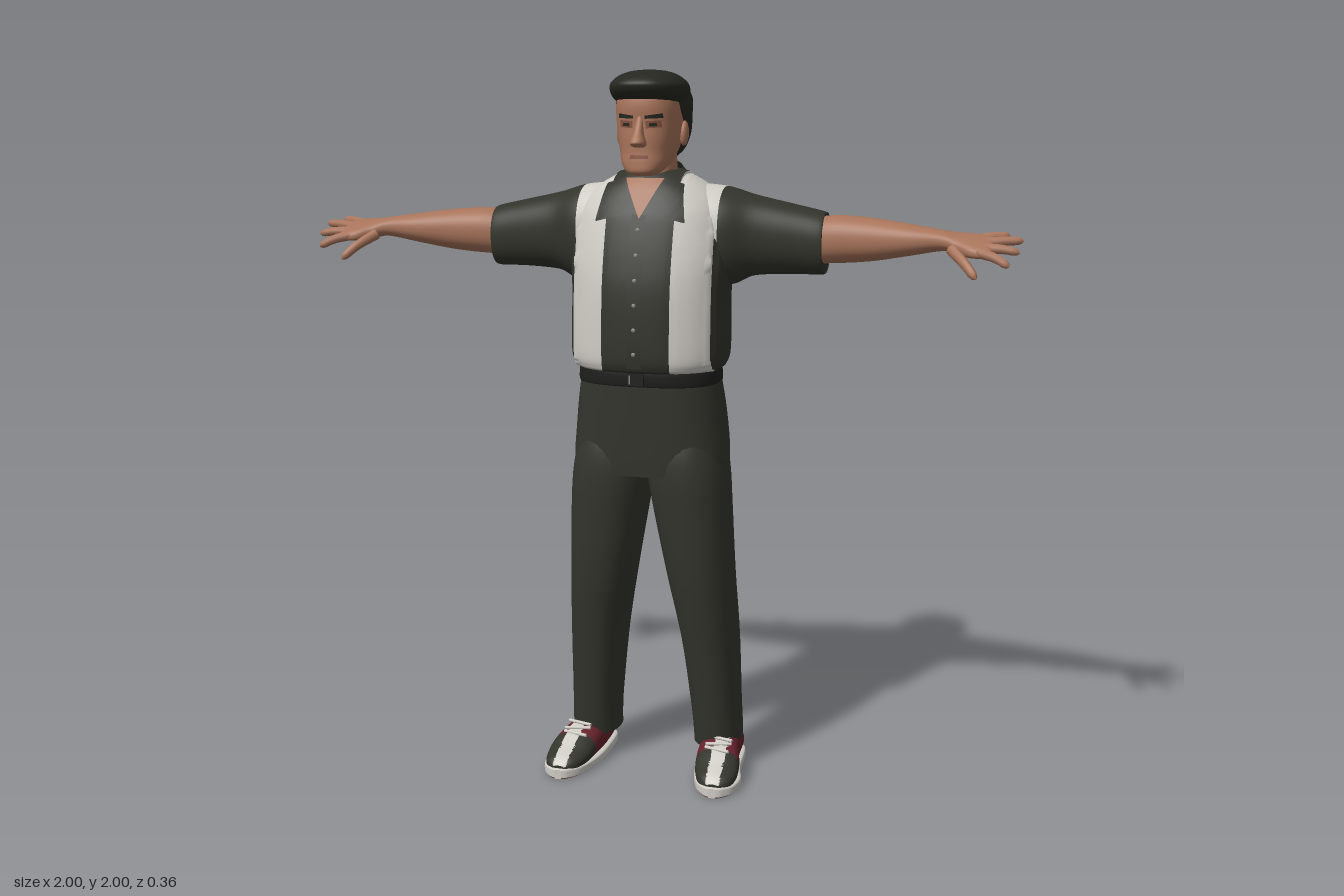
import * as THREE from 'three';

const mat = (name, color, side = THREE.FrontSide) => {
  const m = new THREE.MeshStandardMaterial({ color, side });
  m.name = name;
  return m;
};

// Rows are [t, u0, u1, v0, v1, roundness, shear]; sym() makes rows symmetric in x.
const sym = rows => rows.map(([y, r, z0, z1, p = 2.4]) => [y, -r, r, z0, z1, p, 0]);
const full = rows => rows.map(r => [...r, ...[2.3, 0].slice(r.length - 5)]);

// Smooth interpolation between rows at fractional index f
function rowAt(rows, f) {
  const i = Math.min(Math.floor(f), rows.length - 2), t = f - i;
  const at = k => rows[Math.max(0, Math.min(rows.length - 1, k))];
  const [a, b, c, d] = [at(i - 1), at(i), at(i + 1), at(i + 2)];
  return b.map((_, k) => b[k] + 0.5 * t * (c[k] - a[k] + t * (2 * a[k] - 5 * b[k] + 4 * c[k] - d[k]
    + t * (3 * (b[k] - c[k]) + d[k] - a[k]))));
}

const AXES = {
  y: (t, u, v) => [u, t, v],
  x: (t, u, v) => [t, v, u],
  z: (t, u, v) => [v, u, t],
};

// Skin over superellipse sections; pick(x, y, z) chooses a material per face
function loft(name, rowsIn, axis, mats, { side = 1, n = 40, steps = 6, pick = null, snap = [] } = {}) {
  const rows = full(rowsIn), pos = [], faces = [], count = (rows.length - 1) * steps;
  const put = (t, u, v) => {
    const p = AXES[axis](t, u, v);
    for (const s of snap) if (Math.abs(Math.abs(p[0]) - s) < 0.0075) p[0] = Math.sign(p[0]) * s;
    pos.push(p[0] * side, p[1], p[2]);
  };
  const ring = j => {
    const [t, u0, u1, v0, v1, p, shear] = rowAt(rows, j / steps);
    for (let i = 0; i < n; i++) {
      const a = i / n * Math.PI * 2, s = Math.sin(a), c = Math.cos(a);
      const du = Math.sign(s) * Math.abs(s) ** (2 / p), dv = Math.sign(c) * Math.abs(c) ** (2 / p);
      put(t, (u0 + u1) / 2 + du * (u1 - u0) / 2, (v0 + v1) / 2 + dv * (v1 - v0) / 2 + shear * du);
    }
  };
  for (let j = 0; j <= count; j++) ring(j);
  for (let j = 0; j < count; j++) for (let i = 0; i < n; i++) {
    const a = j * n + i, b = j * n + (i + 1) % n;
    faces.push([a, b, b + n], [a, b + n, a + n]);
  }
  for (const j of [0, count]) {
    const base = pos.length / 3, r = rowAt(rows, j / steps);
    ring(j);
    put(r[0], (r[1] + r[2]) / 2, (r[3] + r[4]) / 2);
    for (let i = 0; i < n; i++) {
      const k = base + (i + 1) % n;
      faces.push(j ? [base + n, base + i, k] : [base + n, k, base + i]);
    }
  }
  const list = Array.isArray(mats) ? mats : [mats], buckets = list.map(() => []);
  for (const f of faces) {
    const c = [0, 1, 2].map(k => (pos[f[0] * 3 + k] + pos[f[1] * 3 + k] + pos[f[2] * 3 + k]) / 3);
    buckets[pick ? pick(...c) : 0].push(...(side < 0 ? [f[0], f[2], f[1]] : f));
  }
  const g = new THREE.BufferGeometry();
  g.setAttribute('position', new THREE.Float32BufferAttribute(pos, 3));
  g.setIndex(buckets.flat());
  let start = 0;
  buckets.forEach((b, k) => { g.addGroup(start, b.length, k); start += b.length; });
  g.computeVertexNormals();
  const m = new THREE.Mesh(g, list.length > 1 ? list : list[0]);
  m.name = name;
  return m;
}

// Front z of an upright loft at (x, y)
function frontZ(rows, x, y) {
  let f = 0;
  while (f < rows.length - 1.02 && rowAt(rows, f)[0] < y) f += 0.02;
  const [, , r, z0, z1, p] = rowAt(rows, f);
  return (z0 + z1) / 2 + (z1 - z0) / 2 * Math.max(0, 1 - Math.abs(x / r) ** p) ** (1 / p);
}

// Thin panel lying on a loft's front; corners run bottom-left, bottom-right, top-right, top-left
function patch(name, rows, corners, material, lift = 0.004, side = 1) {
  let q = corners;
  if (side < 0) q = [1, 0, 3, 2].map(k => [-corners[k][0], corners[k][1]]);
  const g = new THREE.PlaneGeometry(1, 1, 10, 10), P = g.attributes.position;
  for (let i = 0; i < P.count; i++) {
    const s = P.getX(i) + 0.5, t = P.getY(i) + 0.5;
    const [x, y] = [0, 1].map(k => (q[0][k] * (1 - s) + q[1][k] * s) * (1 - t) + (q[3][k] * (1 - s) + q[2][k] * s) * t);
    P.setXYZ(i, x, y, frontZ(rows, x, y) + lift);
  }
  g.computeVertexNormals();
  const m = new THREE.Mesh(g, material);
  m.name = name;
  return m;
}

// Tapered round-tipped finger through points
function finger(name, pts, r, material, side) {
  const curve = new THREE.CatmullRomCurve3(pts.map(([x, y, z]) => new THREE.Vector3(x * side, y, z)));
  const N = 16, R = 10, g = new THREE.TubeGeometry(curve, N, r, R), P = g.attributes.position, v = new THREE.Vector3();
  for (let i = 0; i < P.count; i++) {
    const t = Math.floor(i / (R + 1)) / N, c = curve.getPointAt(t);
    const k = (1 - 0.3 * t) * Math.sqrt(Math.max(0, 1 - Math.max(0, (t - 0.8) / 0.2) ** 2));
    v.fromBufferAttribute(P, i).sub(c).multiplyScalar(k).add(c);
    P.setXYZ(i, v.x, v.y, v.z);
  }
  g.computeVertexNormals();
  const m = new THREE.Mesh(g, material);
  m.name = name;
  return m;
}

export function createModel() {
  const root = new THREE.Group();
  root.name = 'man';
  const add = (...m) => root.add(...m);
  const shape = (name, geo, material, p, s = [1, 1, 1]) => {
    const m = new THREE.Mesh(geo, material);
    m.name = name; m.position.set(...p); m.scale.set(...s);
    add(m);
    return m;
  };
  const skin = mat('skin', 0xa8745a), lip = mat('lipSkin', 0x84513f), hair = mat('hair', 0x262720);
  const dark = mat('darkCloth', 0x32332b, THREE.DoubleSide), white = mat('offWhite', 0xcfccc5);
  const trouser = mat('trouserCloth', 0x34352d), leather = mat('beltLeather', 0x1f1f1c);
  const red = mat('redLeather', 0x66222b), soleBrown = mat('soleBrown', 0x7a5040), grey = mat('buttonGrey', 0x8a8a82);

  // Shirt body with two pale vertical panels front and back
  const torso = sym([[1.195, .195, -.155, .15], [1.205, .21, -.165, .163], [1.25, .221, -.175, .17], [1.4, .22, -.18, .165],
    [1.5, .225, -.182, .148], [1.6, .212, -.182, .12], [1.65, .195, -.176, .097], [1.69, .155, -.155, .075],
    [1.72, .105, -.13, .05], [1.735, .08, -.11, .03]]);
  const panel = x => (Math.abs(x) > .095 && Math.abs(x) < .193 ? 1 : 0);
  add(loft('shirtBody', torso, 'y', [dark, white], { n: 96, steps: 10, pick: panel, snap: [.095, .193] }));
  add(patch('placket', torso, [[-.02, 1.21], [.02, 1.21], [.02, 1.62], [-.02, 1.62]], dark));
  add(patch('pocket', torso, [[.108, 1.43], [.178, 1.43], [.178, 1.55], [.108, 1.55]], white, .006));
  for (let i = 0; i < 6; i++) {
    const y = 1.25 + i * .066;
    shape('button', new THREE.SphereGeometry(.006, 10, 8), grey, [0, y, frontZ(torso, 0, y) + .004], [1, 1, .6]);
  }

  // Open neck and collar
  add(loft('neck', sym([[1.6, .07, -.1, .06, 2], [1.68, .072, -.095, .055, 2], [1.74, .066, -.09, .05, 2], [1.8, .066, -.09, .06, 2]]), 'y', skin));
  add(patch('openNeck', torso, [[0, 1.61], [.001, 1.61], [.055, 1.715], [-.055, 1.715]], skin, .005));
  const band = new THREE.PlaneGeometry(1, 1, 40, 4), B = band.attributes.position;
  for (let i = 0; i < B.count; i++) {
    const a = B.getX(i) * 4.4, d = .5 - B.getY(i), drop = .025 * (1 - Math.cos(a));
    B.setXYZ(i, (.078 + .045 * d) * Math.sin(a), 1.76 - drop - .055 * d, -.03 - (.078 + .042 * d) * Math.cos(a));
  }
  band.computeVertexNormals();
  shape('collarBand', band, dark, [0, 0, 0]);

  // Face
  const head = sym([[1.722, .028, .045, .1], [1.732, .046, .02, .117], [1.755, .064, -.03, .118], [1.785, .074, -.08, .115],
    [1.82, .082, -.1, .115], [1.86, .087, -.108, .113], [1.91, .088, -.11, .115], [1.95, .08, -.1, .1], [1.98, .04, -.05, .05]]);
  add(loft('head', head, 'y', skin));
  add(loft('nose', sym([[1.797, .012, .09, .125], [1.803, .02, .09, .147], [1.812, .02, .09, .156], [1.835, .013, .09, .138],
    [1.865, .01, .09, .12], [1.885, .008, .085, .112]]), 'y', skin, { n: 20 }));
  add(patch('mouth', head, [[-.026, 1.767], [.026, 1.767], [.024, 1.777], [-.024, 1.777]], lip, .003));

  // Hair: swept top and cropped back
  add(loft('hairTop', sym([[1.915, .09, -.118, .098], [1.93, .1, -.121, .122], [1.95, .103, -.118, .138], [1.967, .097, -.108, .138],
    [1.985, .075, -.08, .112], [1.996, .045, -.04, .07], [2, .008, 0, .02]]), 'y', hair));
  add(loft('hairBack', sym([[1.765, .05, -.09, -.04], [1.79, .075, -.104, -.03, 3], [1.83, .09, -.117, -.025, 3],
    [1.865, .096, -.121, .01, 3], [1.89, .099, -.123, .045, 3], [1.925, .1, -.122, .06, 3], [1.95, .09, -.11, .06, 3]]), 'y', hair));

  // Trousers and belt
  add(loft('trouserSeat', sym([[.9, .218, -.143, .124, 2.6], [.95, .22, -.155, .128, 2.6], [1.02, .214, -.162, .132, 2.6],
    [1.1, .205, -.156, .136, 2.6], [1.18, .192, -.145, .14, 2.6]]), 'y', trouser, { n: 56 }));
  add(loft('belt', sym([[1.158, .193, -.15, .142, 2.6], [1.16, .199, -.154, .148, 2.6], [1.197, .196, -.152, .15, 2.6],
    [1.2, .19, -.148, .144, 2.6]]), 'y', leather, { n: 56, steps: 3 }));
  shape('buckle', new THREE.BoxGeometry(.045, .034, .008), leather, [0, 1.178, .152]);
  shape('bucklePin', new THREE.BoxGeometry(.004, .024, .004), grey, [-.016, 1.178, .156]);

  for (const side of [1, -1]) {
    // Lapel, eye, brow, ear
    add(patch('lapel', torso, [[.012, 1.628], [.125, 1.6], [.108, 1.7], [.055, 1.715]], dark, .012, side));
    add(patch('brow', head, [[.016, 1.872], [.062, 1.874], [.06, 1.886], [.016, 1.88]], hair, .004, side));
    add(patch('eyeSocket', head, [[.018, 1.847], [.058, 1.85], [.056, 1.868], [.018, 1.866]], lip, .002, side));
    add(patch('eye', head, [[.026, 1.852], [.048, 1.853], [.046, 1.861], [.028, 1.861]], hair, .004, side));
    shape('ear', new THREE.SphereGeometry(1, 16, 12), skin, [side * .089, 1.832, -.015], [.012, .034, .021]).rotation.x = -.15;

    // Short sleeve; its shoulder end carries the pale panel
    add(loft('sleeve', [[.095, -.15, .055, 1.52, 1.7], [.2, -.172, .06, 1.425, 1.69], [.28, -.158, .03, 1.448, 1.667],
      [.38, -.15, .014, 1.455, 1.645], [.465, -.146, .004, 1.455, 1.626], [.472, -.14, -.002, 1.462, 1.62]],
    'x', [dark, white], { side, n: 48, pick: x => (Math.abs(x) < .2 ? 1 : 0) }));

    // Bare arm and palm
    add(loft('arm', [[.42, -.125, -.01, 1.485, 1.605], [.5, -.13, .003, 1.488, 1.617], [.6, -.12, .01, 1.497, 1.612],
      [.7, -.098, .018, 1.515, 1.6], [.79, -.073, .018, 1.532, 1.587], [.83, -.068, .028, 1.53, 1.58, 2.3, -.008],
      [.87, -.064, .05, 1.528, 1.572, 2.5, -.016], [.91, -.06, .055, 1.533, 1.565, 2.5, -.018], [.922, -.05, .045, 1.54, 1.56, 2.5, -.015]],
    'x', skin, { side }));
    const fingers = {
      thumb: [[.82, 1.54, .02], [.86, 1.508, .07], [.892, 1.473, .1]],
      indexFinger: [[.89, 1.537, .04], [.935, 1.525, .058], [.972, 1.505, .076]],
      middleFinger: [[.89, 1.545, .015], [.95, 1.545, .022], [.995, 1.537, .026]],
      ringFinger: [[.89, 1.555, -.015], [.95, 1.562, -.025], [1, 1.563, -.033]],
      littleFinger: [[.885, 1.563, -.043], [.92, 1.57, -.054], [.962, 1.572, -.066]],
    };
    for (const [name, pts] of Object.entries(fingers)) add(finger(name, pts, name === 'thumb' ? .016 : .0145, skin, side));

    // Trouser leg
    add(loft('trouserLeg', [[.078, .117, .254, -.165, .012], [.12, .116, .255, -.163, .02], [.2, .11, .252, -.161, .032],
      [.4, .087, .247, -.16, .065], [.6, .05, .238, -.142, .1], [.8, .012, .23, -.136, .12], [.9, -.004, .223, -.145, .126],
      [.97, 0, .21, -.15, .12], [1.04, .02, .19, -.13, .1]], 'y', trouser, { side }));

    // Two-tone shoe with pale centre stripe
    add(loft('shoeUpper', [[-.158, .02, .075, .175, .225], [-.13, .015, .1, .15, .25], [-.05, .01, .112, .145, .258],
      [0, .01, .112, .146, .266], [.06, .01, .096, .152, .28], [.11, .01, .072, .163, .283], [.15, .01, .056, .182, .273],
      [.172, .015, .038, .21, .248]], 'z', [red, dark, white], {
      side, n: 56, steps: 8,
      pick: (x, y, z) => (z > -.01 && y > .035 && Math.abs(Math.abs(x) - .217 - z * .06) < .02 ? 2 : z > .06 ? 1 : 0),
    }));
    add(loft('shoeSole', [[-.167, 0, .028, .18, .22, 6], [-.155, 0, .03, .157, .243, 6], [-.12, 0, .03, .143, .257, 6],
      [0, 0, .03, .141, .27, 6], [.08, 0, .03, .152, .29, 6], [.14, 0, .03, .173, .283, 6], [.172, 0, .03, .2, .258, 6],
      [.18, 0, .028, .218, .24, 6]], 'z', [white, soleBrown], { side, n: 48, pick: (x, y) => (y < .004 ? 1 : 0) }));
    for (let i = 0; i < 3; i++) {
      const lace = shape('lace', new THREE.CylinderGeometry(.005, .005, .075, 8), white, [side * .214, .112 - i * .008, .018 + i * .022]);
      lace.rotation.set(0, i % 2 ? .25 : -.25, Math.PI / 2);
    }
  }
  return root;
}
